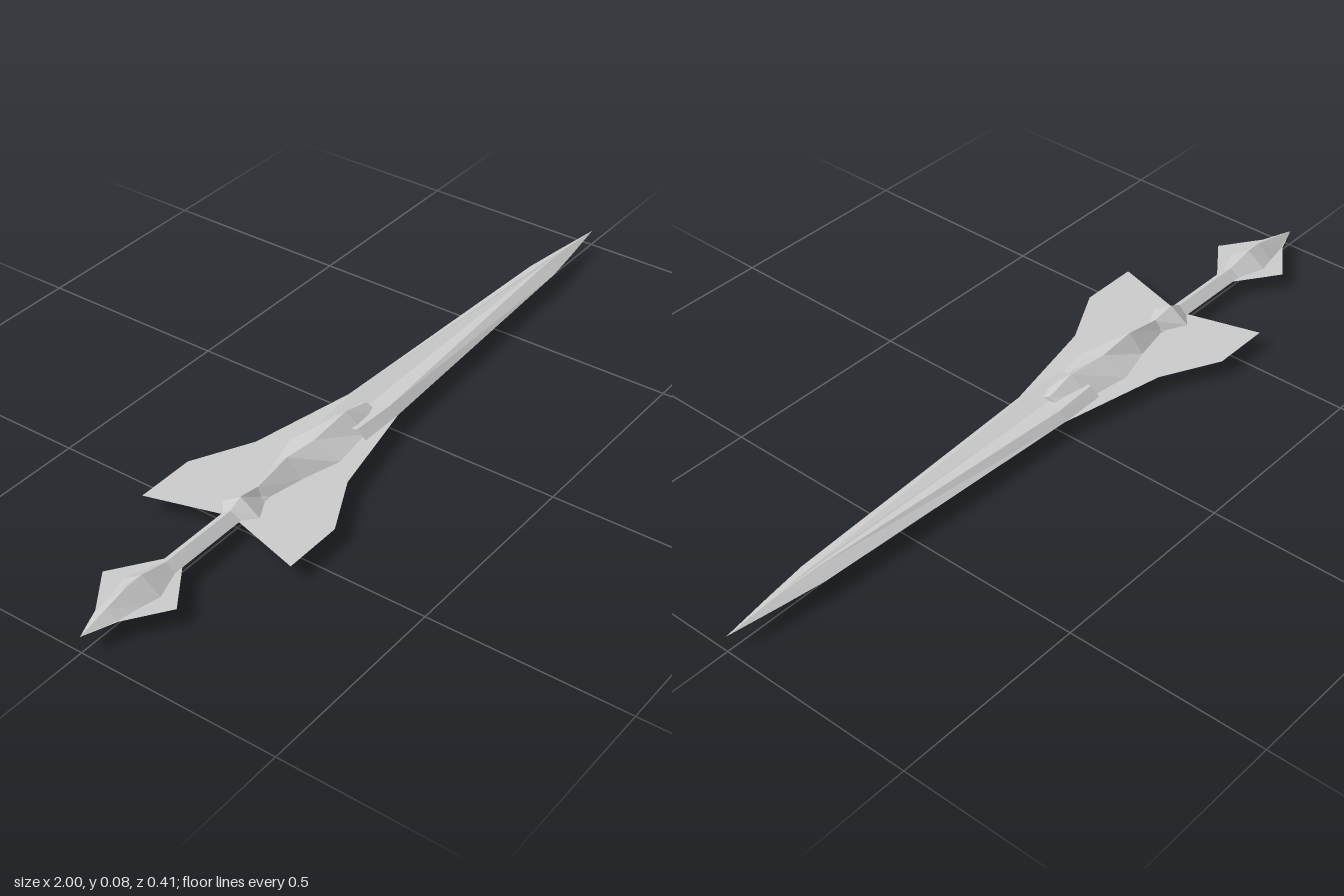
import * as THREE from 'three';

const MID = 0.045; // height of the sword's flat middle plane

// Skin closed rings of [x, y, z] points into a faceted solid
function loft(rings) {
  const pos = [];
  for (let i = 0; i < rings.length - 1; i++) {
    const r = rings[i], s = rings[i + 1], n = r.length;
    for (let j = 0; j < n; j++) {
      const k = (j + 1) % n;
      pos.push(...r[j], ...s[j], ...r[k], ...r[k], ...s[j], ...s[k]);
    }
  }
  const geo = new THREE.BufferGeometry();
  geo.setAttribute('position', new THREE.Float32BufferAttribute(pos, 3));
  geo.computeVertexNormals();
  return geo;
}

// Diamond section: half width w, half height h
const diamond = ([x, w, h]) => [[x, 0, w], [x, h, 0], [x, 0, -w], [x, -h, 0]];

// Blade section: edge half width w, fuller half width f, ridge height h, fuller floor g
const bladeRing = ([x, w, f, h, g]) => [
  [x, 0, w], [x, h, f], [x, g, 0], [x, h, -f],
  [x, 0, -w], [x, -h, -f], [x, -g, 0], [x, -h, f],
];

// Flat plate mirrored across the sword's long axis
function plate(side) {
  const pts = [...side, ...side.slice().reverse().map(([x, z]) => [x, -z])];
  const shape = new THREE.Shape(pts.map(([x, z]) => new THREE.Vector2(x, z)));
  return new THREE.ShapeGeometry(shape).rotateX(-Math.PI / 2);
}

export function createModel() {
  const group = new THREE.Group();
  const steel = new THREE.MeshStandardMaterial({
    color: 0xcccccc, flatShading: true, side: THREE.DoubleSide,
  });
  steel.name = 'pale steel';

  const add = (name, geometry) => {
    const mesh = new THREE.Mesh(geometry, steel);
    mesh.name = name;
    mesh.position.y = MID;
    group.add(mesh);
  };

  // Double-edged blade with a tapering fuller
  add('blade', loft([
    [-0.12, 0.07, 0.045, 0.02, 0.012],
    [0, 0.072, 0.05, 0.019, 0.01],
    [0.75, 0.036, 0.005, 0.017, 0.015],
    [0.86, 0.021, 0.001, 0.012, 0.012],
    [1, 0, 0, 0, 0],
  ].map(bladeRing)));

  // Faceted guard core
  add('guardCore', loft([
    [-0.43, 0, 0],
    [-0.43, 0.02, 0.024],
    [-0.32, 0.042, 0.042],
    [-0.22, 0.071, 0.031],
    [-0.1, 0.055, 0.042],
    [-0.02, 0.045, 0.022],
    [-0.02, 0, 0],
  ].map(diamond)));

  // Collar between guard and grip
  add('collar', loft([
    [-0.52, 0.022, 0.018],
    [-0.485, 0.052, 0.035],
    [-0.42, 0.018, 0.024],
  ].map(diamond)));

  // Grip
  add('grip', loft([
    [-0.78, 0.025, 0.018],
    [-0.42, 0.025, 0.018],
  ].map(diamond)));

  // Pommel
  add('pommel', loft([
    [-1, 0, 0],
    [-0.92, 0.028, 0.019],
    [-0.855, 0.04, 0.034],
    [-0.81, 0.05, 0.034],
    [-0.735, 0.025, 0.018],
  ].map(diamond)));

  // Flat swept wings of the guard and pommel
  add('guardWings', plate([
    [-0.52, 0.015], [-0.575, 0.207], [-0.42, 0.207], [-0.27, 0.13], [0.01, 0.071],
  ]));
  add('pommelWings', plate([
    [-0.99, 0.004], [-0.92, 0.031], [-0.82, 0.102], [-0.71, 0.024],
  ]));

  return group;
}
